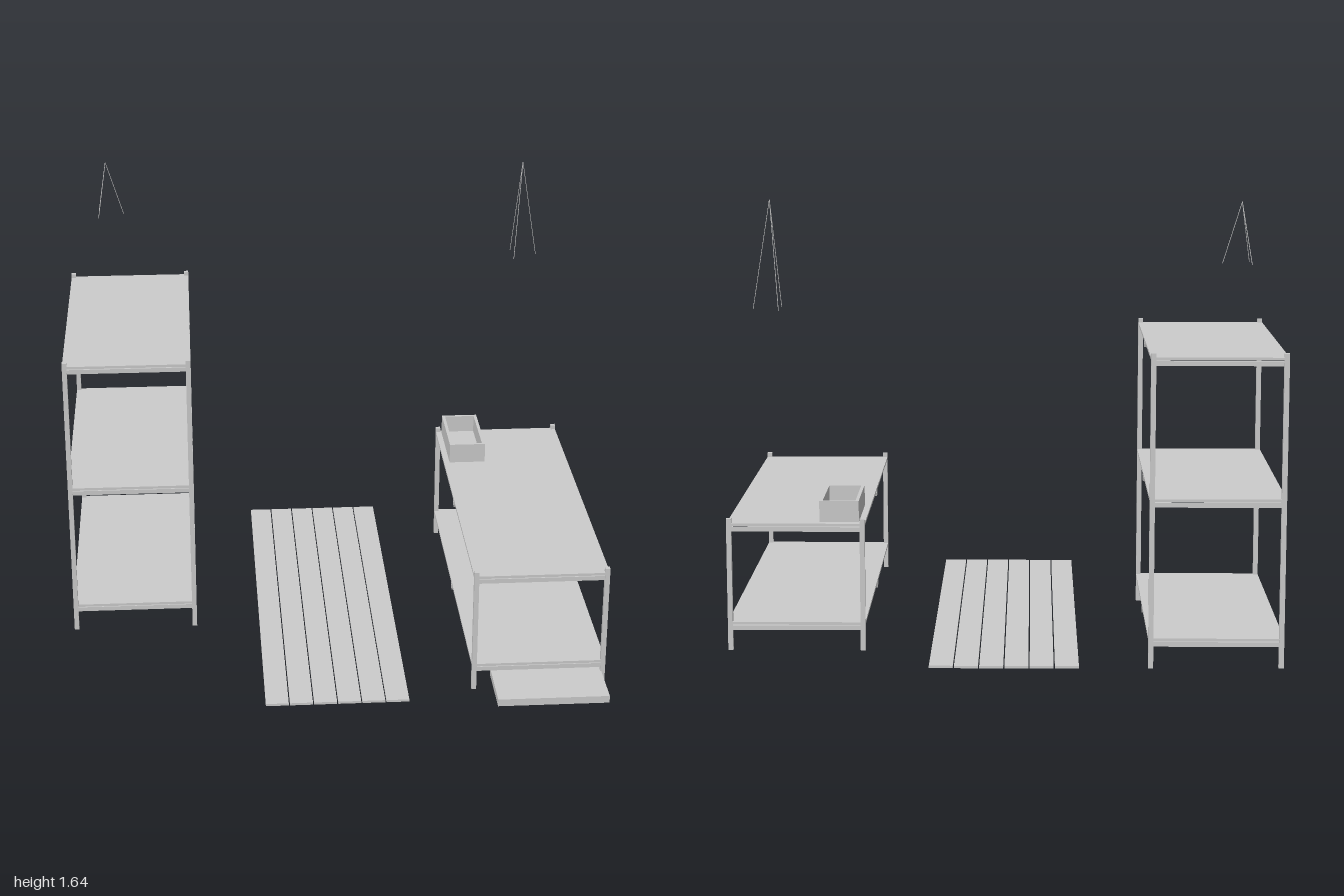
import * as THREE from 'three';

export function createModel() {
  const model = new THREE.Group();
  const grey = new THREE.MeshStandardMaterial({ color: 0xcccccc });
  grey.name = 'light grey';

  function add(parent, name, geometry) {
    const mesh = new THREE.Mesh(geometry, grey);
    mesh.name = name;
    parent.add(mesh);
    return mesh;
  }
  // Box given by its lower and upper limits
  function box(parent, name, x0, x1, y0, y1, z0, z1) {
    add(parent, name, new THREE.BoxGeometry(x1 - x0, y1 - y0, z1 - z0))
      .position.set((x0 + x1) / 2, (y0 + y1) / 2, (z0 + z1) / 2);
  }

  // Hat-shaped cross bar running along x under a shelf
  function crossBar(parent, x0, x1, top, z) {
    const s = new THREE.Shape([[-0.016, 0], [0.016, 0], [0.016, -0.007],
      [0.011, -0.02], [-0.011, -0.02], [-0.016, -0.007]].map(p => new THREE.Vector2(...p)));
    const g = new THREE.ExtrudeGeometry(s, { depth: x1 - x0, bevelEnabled: false });
    g.rotateY(Math.PI / 2);
    add(parent, 'crossBar', g).position.set(x0, top, z);
  }

  // Rack: corner posts, shelves, end rails and a middle cross bar
  function rack(name, x0, x1, z0, z1, height, tops) {
    const g = new THREE.Group();
    g.name = name;
    model.add(g);
    const t = 0.018;
    for (const x of [x0, x1 - t])
      for (const z of [z0, z1 - t]) box(g, 'post', x, x + t, 0, height, z, z + t);
    for (const y of tops) {
      box(g, 'shelf', x0, x1, y - 0.01, y, z0 + 0.002, z1 - 0.002);
      for (const z of [z0 + 0.003, z1 - t + 0.003])
        box(g, 'endRail', x0, x1, y - 0.03, y - 0.013, z, z + 0.012);
      crossBar(g, x0 - 0.001, x1 + 0.001, y - 0.01, (z0 + z1) / 2);
    }
  }
  rack('tallRack', -0.999, -0.519, -0.857, 0.133, 1.125, [1.111, 0.61, 0.108]);
  rack('lowRack', 0.498, 0.999, -0.635, 0.688, 0.488, [0.471, 0.105]);

  // Floor mat of six planks
  const mat = new THREE.Group();
  mat.name = 'floorPlanks';
  model.add(mat);
  for (let i = 0; i < 6; i++) {
    const x = -0.274 + i * 0.0893;
    box(mat, 'plank', x, x + 0.085, 0.002, 0.011, -0.872, 0.767);
  }

  // Open tray on the low rack
  const tray = new THREE.Group();
  tray.name = 'tray';
  model.add(tray);
  const [tx0, tx1, tz0, tz1, w] = [0.52, 0.663, -0.609, -0.312, 0.012];
  box(tray, 'trayBase', tx0, tx1, 0.472, 0.482, tz0, tz1);
  for (const x of [tx0, tx1 - w]) box(tray, 'traySide', x, x + w, 0.482, 0.55, tz0, tz1);
  for (const z of [tz0, tz1 - w]) box(tray, 'trayEnd', tx0 + w, tx1 - w, 0.482, 0.55, z, z + w);

  // Board pulled out below the low rack
  box(model, 'stepBoard', 0.573, 0.985, 0.032, 0.06, 0.645, 0.872);

  // Three thin hanging wires meeting at a point
  function wires(name, x, z, top, bottom, radius) {
    const g = new THREE.Group();
    g.name = name;
    model.add(g);
    const apex = new THREE.Vector3(x, top, z);
    for (let i = 0; i < 3; i++) {
      const a = i * Math.PI * 2 / 3;
      const end = new THREE.Vector3(x + radius * Math.cos(a), bottom, z + radius * Math.sin(a));
      add(g, 'wire', new THREE.TubeGeometry(new THREE.LineCurve3(apex, end), 1, 0.0012, 6));
    }
  }
  wires('tallWires', -0.838, -0.717, 1.64, 1.425, 0.066);
  wires('lowWires', 0.824, -0.62, 1.64, 1.25, 0.064);

  return model;
}
